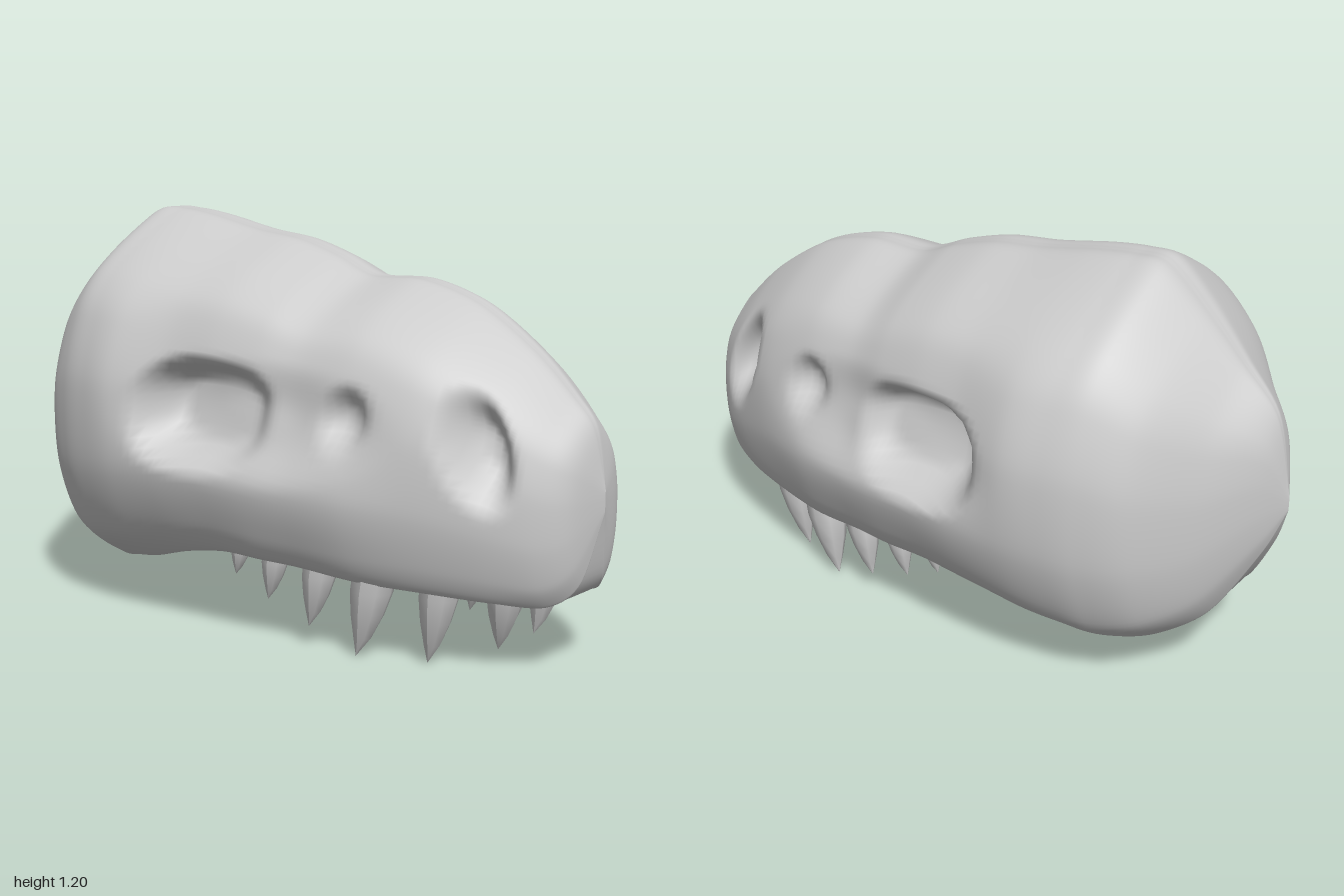
import * as THREE from 'three';

const { smoothstep, lerp } = THREE.MathUtils;
const bone = new THREE.MeshStandardMaterial({ color: 0xcccccc, side: THREE.DoubleSide });

// Stations along the skull: x, top y, bottom y, half width, mouth depth, roundness below
const STATIONS = [
  [-1, 0.6, 0.56, 0, 0, 1],
  [-0.95, 0.83, 0.43, 0.09, 0, 1],
  [-0.84, 0.96, 0.24, 0.245, 0, 1],
  [-0.72, 1.09, 0.16, 0.4, 0, 1],
  [-0.6, 1.195, 0.125, 0.47, 0, 1],
  [-0.5, 1.2, 0.14, 0.5, 0.03, 0.9],
  [-0.38, 1.185, 0.165, 0.515, 0.19, 0.7],
  [-0.2, 1.15, 0.22, 0.51, 0.25, 0.3],
  [-0.04, 1.13, 0.25, 0.495, 0.25, 0.1],
  [0.1, 1.09, 0.25, 0.475, 0.25, 0],
  [0.23, 1.04, 0.245, 0.45, 0.25, 0],
  [0.41, 1.04, 0.23, 0.415, 0.23, 0],
  [0.6, 0.985, 0.222, 0.345, 0.2, 0],
  [0.78, 0.87, 0.212, 0.265, 0.13, 0.1],
  [0.9, 0.76, 0.208, 0.195, 0.01, 0.5],
  [0.965, 0.68, 0.27, 0.125, 0, 1],
  [1, 0.52, 0.46, 0, 0, 1],
];

// Half section, crown to jaw rim: width fraction, height fraction, width fraction when rounded below
const SECTION = [
  [0, 1, 0], [0.14, 0.992, 0.14], [0.48, 0.905, 0.48], [0.72, 0.82, 0.72], [0.87, 0.72, 0.87],
  [0.985, 0.54, 0.985], [1, 0.3, 0.97], [0.9, 0.1, 0.8], [0.78, 0, 0.5],
];

// Mouth roof inside the rim: width fraction, fraction of mouth depth
const PALATE = [[0.68, 0.12], [0.58, 0.65], [0.35, 0.95], [0, 1]];

// Hollows on each side: centre, half size, slant, depth, forward fade, corner power, edge softness
const HOLLOWS = [
  { x: -0.06, y: 0.66, rx: 0.225, ry: 0.15, slant: 0, depth: 0.14, fade: 0.6, power: 2.7, inner: 0.6 },
  { x: 0.1, y: 0.65, rx: 0.45, ry: 0.17, slant: 0, depth: 0.03, fade: 0, power: 2, inner: 0.3 },
  { x: 0.4, y: 0.685, rx: 0.085, ry: 0.1, slant: 0, depth: 0.06, fade: 0.3, power: 2, inner: 0.2 },
  { x: 0.755, y: 0.63, rx: 0.09, ry: 0.17, slant: -0.3, depth: 0.115, fade: 0.2, power: 2, inner: 0.2 },
];

// Pushes the side wall inward at the eye socket, cheek opening and nostril
function hollow(p) {
  let push = 0;
  for (const h of HOLLOWS) {
    const dy = (p.y - h.y) / h.ry;
    const dx = (p.x - h.x - (p.y - h.y) * h.slant) / h.rx;
    const d = Math.pow(Math.abs(dx) ** h.power + Math.abs(dy) ** h.power, 1 / h.power);
    push += h.depth * (1 - h.fade * (dx + 1) / 2) * (1 - smoothstep(d, h.inner, 1.08));
  }
  p.z -= Math.min(push, p.z * 0.6);
}

function stationPoints([x, top, bottom, width, mouth, round]) {
  // The brow is narrower than the cheekbone beside the sockets
  const brow = 0.09 * smoothstep(x, -0.42, -0.15) * (1 - smoothstep(x, 0.3, 0.65));
  const wall = SECTION.map(([w, t, wRound]) => {
    const pinch = 1 - brow * smoothstep(t, 0.35, 0.54) * (1 - smoothstep(t, 0.74, 0.9));
    return new THREE.Vector3(x, lerp(bottom, top, t), lerp(w, wRound, round) * width * pinch);
  });
  const roof = PALATE.map(([w, t]) =>
    new THREE.Vector3(x, bottom + mouth * t, w * lerp(1, 0.62, round) * width));
  return [...wall, ...roof];
}

function skullGeometry(rows = 120, half = 96) {
  const around = STATIONS.map((s) => new THREE.CatmullRomCurve3(stationPoints(s), false, 'catmullrom', 0.45));
  const positions = [], index = [];
  const ring = half * 2;
  // Lines running from the back of the head to the snout
  const lines = [];
  for (let j = 0; j <= half; j++) {
    const curve = new THREE.CatmullRomCurve3(around.map((c) => c.getPoint(j / half)), false, 'catmullrom', 0.45);
    lines.push(curve.getPoints(rows));
    lines[j].forEach((p) => { p.z = Math.max(p.z, 0); hollow(p); });
  }
  for (let i = 0; i <= rows; i++) {
    for (let k = 0; k < ring; k++) {
      const p = lines[k <= half ? k : ring - k][i];
      positions.push(p.x, p.y, k <= half ? p.z : -p.z);
      if (i === rows) continue;
      const a = i * ring + k, b = i * ring + (k + 1) % ring;
      index.push(a, b, a + ring, b, b + ring, a + ring);
    }
  }
  const geometry = new THREE.BufferGeometry();
  geometry.setAttribute('position', new THREE.Float32BufferAttribute(positions, 3));
  geometry.setIndex(index);
  geometry.computeVertexNormals();
  return geometry;
}

// Curved fang swept from its root to a point
function toothGeometry(baseX, tipX, tipY, baseZ, tipZ, radius) {
  const rootY = 0.28;
  const profile = [[0.001, 0], [0.4, 0.2], [0.75, 0.45], [0.97, 0.7], [1, 1]];
  const geometry = new THREE.LatheGeometry(profile.map(([r, t]) => new THREE.Vector2(r * radius, t)), 8);
  const pos = geometry.attributes.position;
  for (let i = 0; i < pos.count; i++) {
    const t = pos.getY(i);
    const bend = t ** 0.7;
    pos.setXYZ(i,
      pos.getX(i) * 1.1 + lerp(tipX, baseX, bend),
      lerp(tipY, rootY, t),
      pos.getZ(i) + lerp(tipZ, baseZ, bend));
  }
  geometry.computeVertexNormals();
  return geometry;
}

export function createModel() {
  const model = new THREE.Group();
  model.name = 'dinosaurSkull';

  const skull = new THREE.Mesh(skullGeometry(), bone);
  skull.name = 'skull';
  model.add(skull);

  // Teeth from snout to cheek: root x, tip x, tip y, root z, tip z, radius
  const TEETH = [
    [0.77, 0.73, 0.045, 0.11, 0.09, 0.052],
    [0.62, 0.57, 0, 0.205, 0.2, 0.055],
    [0.44, 0.38, 0, 0.265, 0.28, 0.06],
    [0.27, 0.225, 0.06, 0.295, 0.3, 0.048],
    [0.115, 0.08, 0.115, 0.31, 0.31, 0.038],
    [-0.015, -0.04, 0.17, 0.315, 0.315, 0.028],
  ];
  for (const side of [1, -1]) {
    const row = new THREE.Group();
    row.name = side > 0 ? 'frontToothRow' : 'backToothRow';
    for (const [bx, tx, ty, bz, tz, r] of TEETH) {
      const tooth = new THREE.Mesh(toothGeometry(bx, tx, ty, bz * side, tz * side, r), bone);
      tooth.name = 'tooth';
      row.add(tooth);
    }
    model.add(row);
  }
  return model;
}
